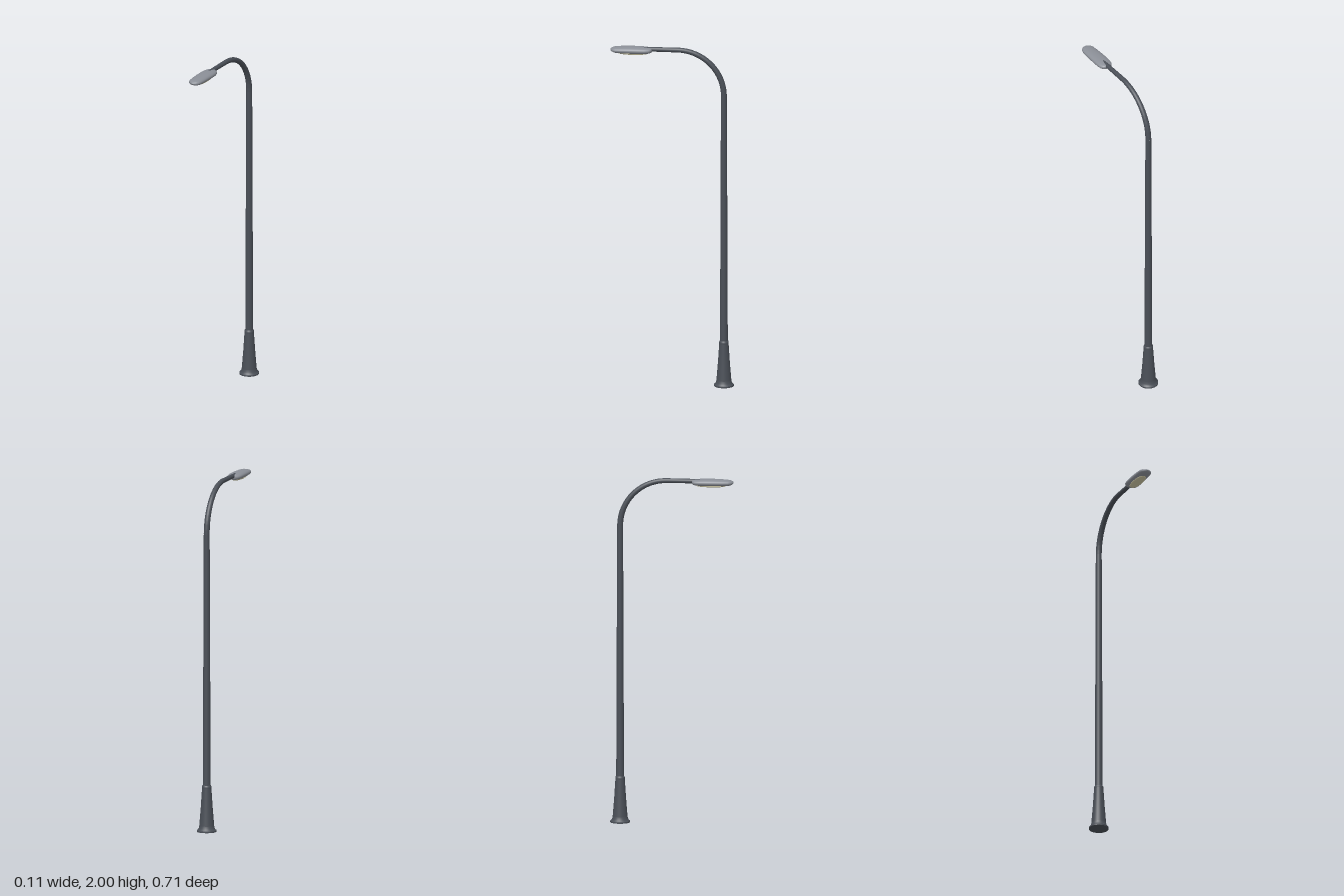
import * as THREE from 'three';

const POLE_Z = -0.2985;
const BEND = 0.265;
const ARM_Y = 1.986;

const paint = (color) => new THREE.MeshStandardMaterial({ color });

function add(group, name, geometry, material) {
  const mesh = new THREE.Mesh(geometry, material);
  mesh.name = name;
  group.add(mesh);
  return mesh;
}

// Skin of rings along z; each station is [z, halfWidth, top, bottom, midY]
function loft(stations, sides, power) {
  const pos = [], index = [];
  const soft = (v) => Math.sign(v) * Math.abs(v) ** power;
  stations.forEach(([z, w, top, bottom, mid], i) => {
    for (let j = 0; j < sides; j++) {
      const t = (j / sides) * Math.PI * 2;
      const s = soft(Math.sin(t));
      pos.push(w * soft(Math.cos(t)), mid + s * (s > 0 ? top - mid : mid - bottom), z);
      if (i === stations.length - 1) continue;
      const a = i * sides + j, b = i * sides + (j + 1) % sides;
      index.push(a, b, a + sides, b, b + sides, a + sides);
    }
  });
  const geo = new THREE.BufferGeometry();
  geo.setAttribute('position', new THREE.Float32BufferAttribute(pos, 3));
  geo.setIndex(index);
  geo.computeVertexNormals();
  return geo;
}

// Tube bent through a quarter circle, thinning from r0 to r1
function taperedArm(r0, r1) {
  const path = new THREE.CurvePath();
  const bendY = ARM_Y - BEND, bendZ = POLE_Z + BEND;
  const points = [];
  for (let i = 0; i <= 16; i++) {
    const t = (i / 16) * Math.PI / 2;
    points.push(new THREE.Vector3(0, bendY + BEND * Math.sin(t), bendZ - BEND * Math.cos(t)));
  }
  points.push(new THREE.Vector3(0, ARM_Y, 0.18));
  for (let i = 1; i < points.length; i++) path.add(new THREE.LineCurve3(points[i - 1], points[i]));
  const rows = 64, sides = 20;
  const geo = new THREE.TubeGeometry(path, rows, 1, sides);
  const pos = geo.attributes.position, v = new THREE.Vector3();
  for (let i = 0; i <= rows; i++) {
    const centre = path.getPointAt(i / rows);
    const r = r0 + (r1 - r0) * (i / rows);
    for (let j = 0; j <= sides; j++) {
      const k = i * (sides + 1) + j;
      v.fromBufferAttribute(pos, k).sub(centre).multiplyScalar(r).add(centre);
      pos.setXYZ(k, v.x, v.y, v.z);
    }
  }
  return geo;
}

export function createModel() {
  const model = new THREE.Group();
  const dark = paint(0x4a4f57);
  const grey = paint(0x8b8f97);
  const glass = paint(0xc9c3a0);

  // Foot flange, flared base and collar
  const segments = [
    [[0, 0], [0.0565, 0]],
    [[0.0565, 0], [0.0565, 0.008]],
    [[0.0565, 0.008], [0.05, 0.013], [0.045, 0.022], [0.0425, 0.035]],
    [[0.0425, 0.035], [0.034, 0.14], [0.027, 0.25]],
    [[0.027, 0.25], [0.0275, 0.257], [0.026, 0.264], [0.021, 0.27]],
  ];
  const base = new THREE.Group();
  base.name = 'base';
  base.position.z = POLE_Z;
  segments.forEach((s, i) => add(base, 'baseSection' + (i + 1),
    new THREE.LatheGeometry(s.map(([x, y]) => new THREE.Vector2(x, y)), 32), dark));
  model.add(base);

  // Pole shaft
  const top = ARM_Y - BEND;
  const pole = add(model, 'pole', new THREE.CylinderGeometry(0.017, 0.0225, top - 0.25, 24, 1, true), dark);
  pole.position.set(0, (top + 0.25) / 2, POLE_Z);

  // Curved arm
  add(model, 'arm', taperedArm(0.017, 0.0125), dark);

  // Lamp housing
  add(model, 'lampHousing', loft([
    [0.112, 0, 1.982, 1.982, 1.982],
    [0.113, 0.014, 1.992, 1.970, 1.982],
    [0.119, 0.028, 1.994, 1.966, 1.981],
    [0.132, 0.037, 1.996, 1.963, 1.980],
    [0.155, 0.0415, 1.998, 1.961, 1.980],
    [0.190, 0.0425, 2.000, 1.960, 1.980],
    [0.240, 0.0415, 2.000, 1.960, 1.980],
    [0.290, 0.0395, 1.998, 1.961, 1.980],
    [0.320, 0.0365, 1.996, 1.963, 1.980],
    [0.335, 0.031, 1.993, 1.966, 1.980],
    [0.345, 0.019, 1.989, 1.971, 1.980],
    [0.350, 0.008, 1.985, 1.976, 1.980],
    [0.352, 0, 1.981, 1.981, 1.981],
  ], 32, 0.9), grey);

  // Lens under the housing
  const lens = [];
  for (let i = 0; i <= 16; i++) {
    const u = -Math.cos((i / 16) * Math.PI);
    const r = Math.sqrt(Math.max(0, 1 - u * u));
    lens.push([0.222 + 0.085 * u, 0.029 * r ** 0.8, 1.964, 1.963 - 0.0095 * r ** 0.6, 1.963]);
  }
  add(model, 'lens', loft(lens, 24, 0.8), glass);

  return model;
}
